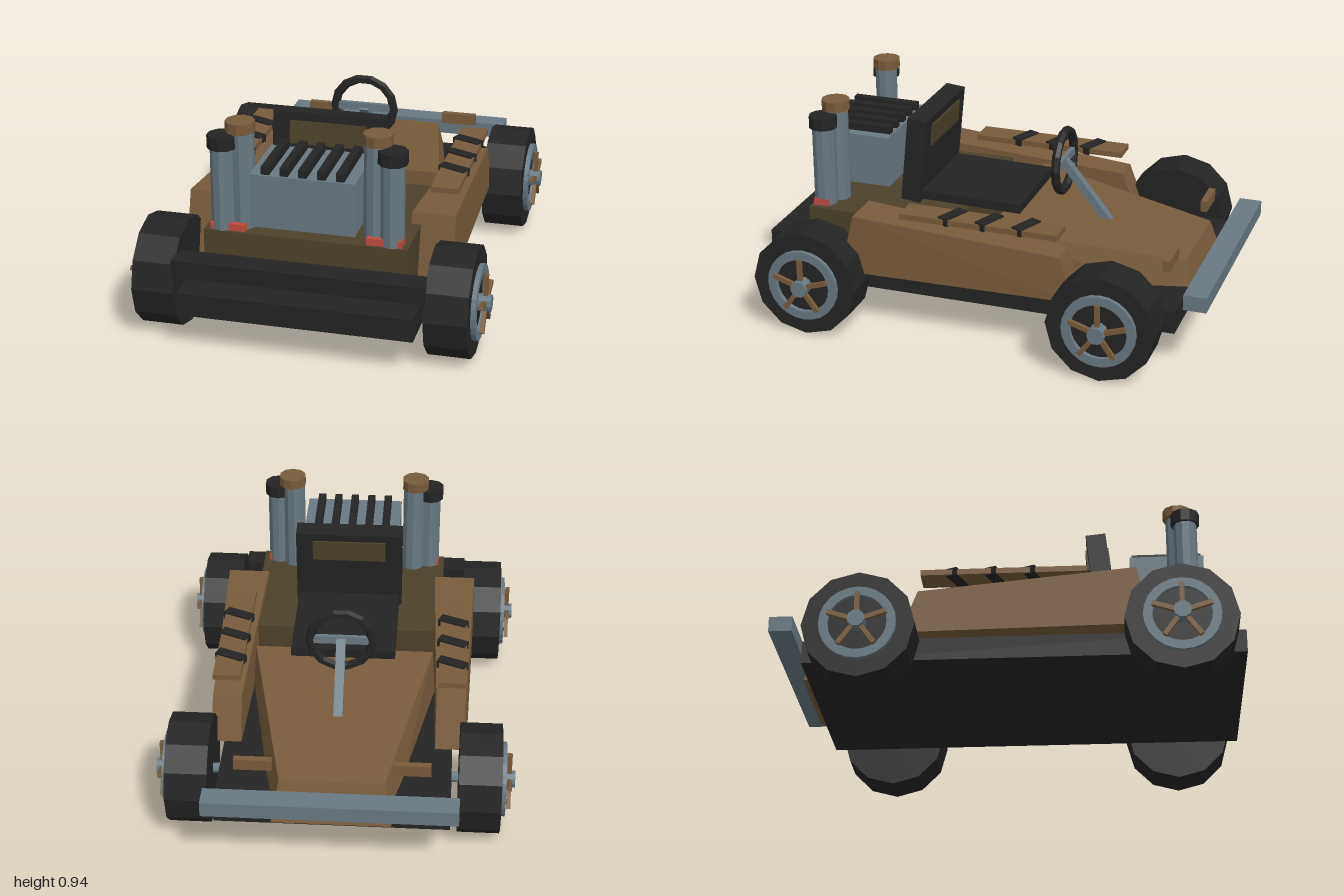
import * as THREE from 'three';
import { ConvexGeometry } from 'three/addons/geometries/ConvexGeometry.js';

const mat = (name, color) => {
  const m = new THREE.MeshStandardMaterial({ color });
  m.name = name;
  return m;
};

export function createModel() {
  const model = new THREE.Group();
  model.name = 'kart';
  const brown = mat('brown paint', 0x775b3c);
  const grey = mat('steel grey', 0x687882);
  const black = mat('black', 0x242424);
  const olive = mat('olive', 0x4c412a);
  const red = mat('lamp red', 0xc24a3e);

  // Faceted mesh: every triangle gets its own normal
  const add = (name, geo, material, x = 0, y = 0, z = 0, parent = model) => {
    const g = geo.index ? geo.toNonIndexed() : geo;
    g.computeVertexNormals();
    const mesh = new THREE.Mesh(g, material);
    mesh.name = name;
    mesh.position.set(x, y, z);
    parent.add(mesh);
    return mesh;
  };
  // Box given by its limits on each axis
  const box = (name, m, [x0, x1], [y0, y1], [z0, z1], parent) =>
    add(name, new THREE.BoxGeometry(x1 - x0, y1 - y0, z1 - z0), m,
      (x0 + x1) / 2, (y0 + y1) / 2, (z0 + z1) / 2, parent);
  // Cylinder lying along x
  const axial = (name, m, r, length, sides, x, y, z, parent) =>
    add(name, new THREE.CylinderGeometry(r, r, length, sides).rotateZ(Math.PI / 2), m, x, y, z, parent);
  const pipe = (name, m, r, y0, y1, x, z) =>
    add(name, new THREE.CylinderGeometry(r, r, y1 - y0, 10), m, x, (y0 + y1) / 2, z);
  const solid = (name, m, pts) =>
    add(name, new ConvexGeometry(pts.map((p) => new THREE.Vector3(...p))), m);

  // Chassis, bumpers and body
  box('chassis', black, [-0.495, 0.495], [0.16, 0.26], [-0.86, 1]);
  box('rearBumper', black, [-0.53, 0.53], [0.31, 0.385], [0.85, 0.96]);
  box('frontBumper', grey, [-0.53, 0.53], [0.295, 0.362], [-1, -0.9]);
  box('rearDeck', olive, [-0.43, 0.43], [0.25, 0.475], [0.16, 0.82]);
  const hood = [];
  for (const s of [-1, 1]) {
    hood.push([s * 0.25, 0.19, -0.893], [s * 0.22, 0.37, -0.835], [s * 0.395, 0.47, 0],
      [s * 0.41, 0.24, 0]);
  }
  solid('hood', brown, hood);

  // Seat leaning slightly towards the wheel
  const cushion = box('seatCushion', black, [-0.23, 0.23], [0.49, 0.53], [-0.09, 0.42]);
  cushion.rotation.x = -0.02;
  const backrest = new THREE.Group();
  backrest.name = 'backrest';
  backrest.position.set(0, 0.68, 0.397);
  backrest.rotation.x = -0.1;
  model.add(backrest);
  box('backrestFrame', black, [-0.24, 0.24], [-0.2, 0.185], [-0.044, 0.044], backrest);
  box('headrestPad', olive, [-0.165, 0.165], [0.05, 0.15], [-0.052, 0.052], backrest);

  // Engine block with cooling fins
  box('engineBlock', grey, [-0.22, 0.22], [0.525, 0.755], [0.525, 0.85]);
  for (let i = -2; i <= 2; i++) {
    const x = i * 0.078;
    box('engineFin', black, [x - 0.017, x + 0.017], [0.755, 0.79], [0.535, 0.84]);
  }

  // Steering wheel and column
  add('steeringWheel', new THREE.TorusGeometry(0.135, 0.02, 6, 14), black, 0, 0.665, -0.22);
  box('steeringSpoke', grey, [-0.125, 0.125], [0.65, 0.685], [-0.23, -0.21]);
  const column = add('steeringColumn', new THREE.BoxGeometry(0.04, 0.035, 0.38), grey, 0, 0.52, -0.335);
  column.rotation.x = -Math.atan2(0.29, 0.235);

  // Axles
  for (const z of [-0.595, 0.73]) axial('axle', grey, 0.022, 1.2, 8, 0, 0.235, z);

  for (const s of [-1, 1]) {
    const span = (a, b) => (s > 0 ? [a, b] : [-b, -a]);

    // Side pod with a strapped plank on top
    solid('sidePod', brown, [
      [s * 0.39, 0.262, 0.61], [s * 0.58, 0.262, 0.61], [s * 0.42, 0.262, -0.44], [s * 0.555, 0.262, -0.44],
      [s * 0.39, 0.525, 0.55], [s * 0.575, 0.525, 0.55], [s * 0.42, 0.455, -0.37], [s * 0.545, 0.455, -0.37],
    ]);
    box('plank', brown, span(0.425, 0.545), [0.53, 0.555], [-0.36, 0.345]);
    for (const z of [-0.205, -0.04, 0.125]) {
      const strap = add('strap', new THREE.BoxGeometry(0.13, 0.034, 0.05), black, s * 0.483, 0.545, z);
      strap.rotation.y = -0.4;
    }

    // Front markers, rear lamps and exhaust stacks
    box('frontMarker', brown, span(0.25, 0.41), [0.395, 0.445], [-0.81, -0.78]);
    box('rearLamp', red, span(0.255, 0.405), [0.465, 0.505], [0.74, 0.808]);
    pipe('outerExhaust', grey, 0.05, 0.37, 0.83, s * 0.357, 0.77);
    pipe('outerExhaustCap', black, 0.062, 0.83, 0.885, s * 0.357, 0.77);
    pipe('innerExhaust', grey, 0.05, 0.43, 0.9, s * 0.28, 0.738);
    pipe('innerExhaustCap', brown, 0.062, 0.895, 0.94, s * 0.288, 0.738);

    // Wheels: tyre, rim ring, five spokes and hub
    for (const z of [-0.595, 0.73]) {
      const wheel = new THREE.Group();
      wheel.name = z < 0 ? 'frontWheel' : 'rearWheel';
      wheel.position.set(s * 0.615, 0.235, z);
      model.add(wheel);
      axial('tyre', black, 0.235, 0.18, 12, 0, 0, 0, wheel);
      const ring = new THREE.Shape().absarc(0, 0, 0.16, 0, Math.PI * 2, false);
      ring.holes.push(new THREE.Path().absarc(0, 0, 0.122, 0, Math.PI * 2, true));
      const rim = new THREE.ExtrudeGeometry(ring, { depth: 0.022, bevelEnabled: false, curveSegments: 12 });
      add('rim', rim.rotateY(s * Math.PI / 2), grey, s * 0.088, 0, 0, wheel);
      for (let i = 0; i < 5; i++) {
        const spoke = new THREE.BoxGeometry(0.018, 0.1, 0.02).translate(s * 0.125, 0.078, 0);
        add('spoke', spoke.rotateX(i * Math.PI * 0.4), brown, 0, 0, 0, wheel);
      }
      axial('hub', grey, 0.037, 0.065, 10, s * 0.117, 0, 0, wheel);
    }
  }
  return model;
}
